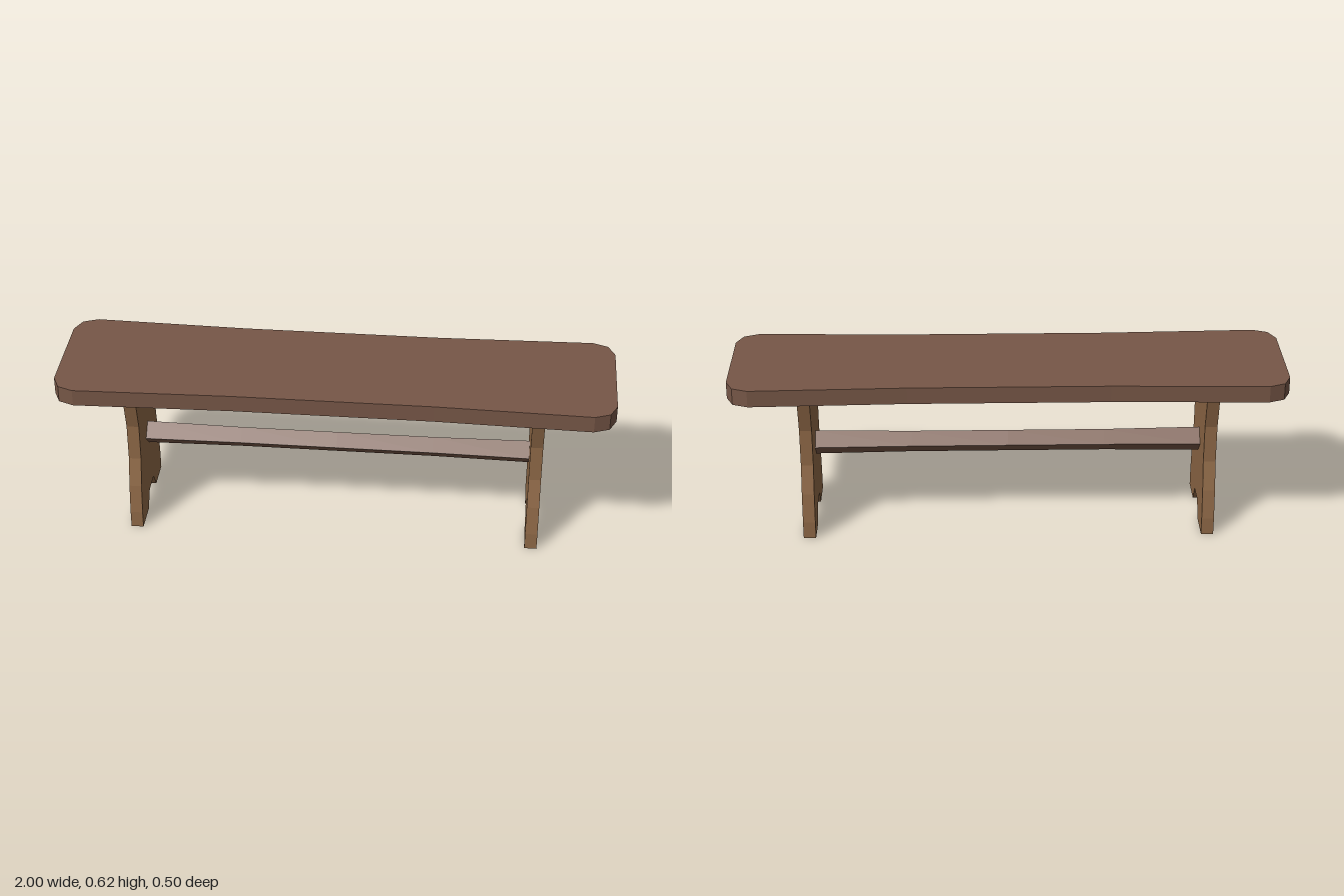
import * as THREE from 'three';

const seatWood = new THREE.MeshStandardMaterial({ color: 0x775747, flatShading: true });
seatWood.name = 'dark brown wood';
const legWood = new THREE.MeshStandardMaterial({ color: 0x8f6947, flatShading: true });
legWood.name = 'light brown wood';

// Closed shape from half an outline, mirrored across the vertical axis
function mirroredShape(half) {
  const mirror = half.map(([x, y]) => [-x, y]).reverse();
  return new THREE.Shape([...half, ...mirror].map(([x, y]) => new THREE.Vector2(x, y)));
}

// Extrusion centred on its own thickness
function plank(shape, thickness) {
  const geometry = new THREE.ExtrudeGeometry(shape, { depth: thickness, bevelEnabled: false });
  return geometry.translate(0, 0, -thickness / 2);
}

function addMesh(group, name, geometry, material) {
  const mesh = new THREE.Mesh(geometry, material);
  mesh.name = name;
  group.add(mesh);
  return mesh;
}

export function createModel() {
  const bench = new THREE.Group();
  bench.name = 'bench';

  // Seat: clipped corners and a slight waist along the long sides
  const side = [[0.36, 0.233], [0.92, 0.248], [0.975, 0.226], [1, 0.172]];
  const rightEdge = [...side.map(([x, z]) => [x, -z]), ...side.slice().reverse()];
  const seatGeometry = plank(mirroredShape(rightEdge), 0.062).rotateX(-Math.PI / 2);
  addMesh(bench, 'seat', seatGeometry, seatWood).position.y = 0.592;

  // Legs: waisted boards with a notch cut in the foot
  const legHalf = [
    [0.042, 0.063], [0.084, 0], [0.196, 0], [0.196, 0.065], [0.183, 0.175],
    [0.159, 0.282], [0.159, 0.422], [0.195, 0.562],
  ];
  const legGeometry = plank(mirroredShape(legHalf), 0.045).rotateY(-Math.PI / 2);
  for (const [name, s] of [['leftLeg', 1], ['rightLeg', -1]]) {
    addMesh(bench, name, legGeometry, legWood).position.x = s * 0.73;
  }

  // Stretcher: square bar standing on its edge, thicker towards the ends
  const bar = new THREE.CylinderGeometry(0.042, 0.042, 1.42, 4, 4);
  const p = bar.attributes.position;
  for (let i = 0; i < p.count; i++) {
    const k = Math.abs(p.getY(i)) > 0.5 ? 1.13 : 1;
    p.setX(i, p.getX(i) * k);
    p.setZ(i, p.getZ(i) * k);
  }
  bar.rotateZ(Math.PI / 2);
  bar.computeVertexNormals();
  addMesh(bench, 'stretcher', bar, seatWood).position.y = 0.296;

  return bench;
}
